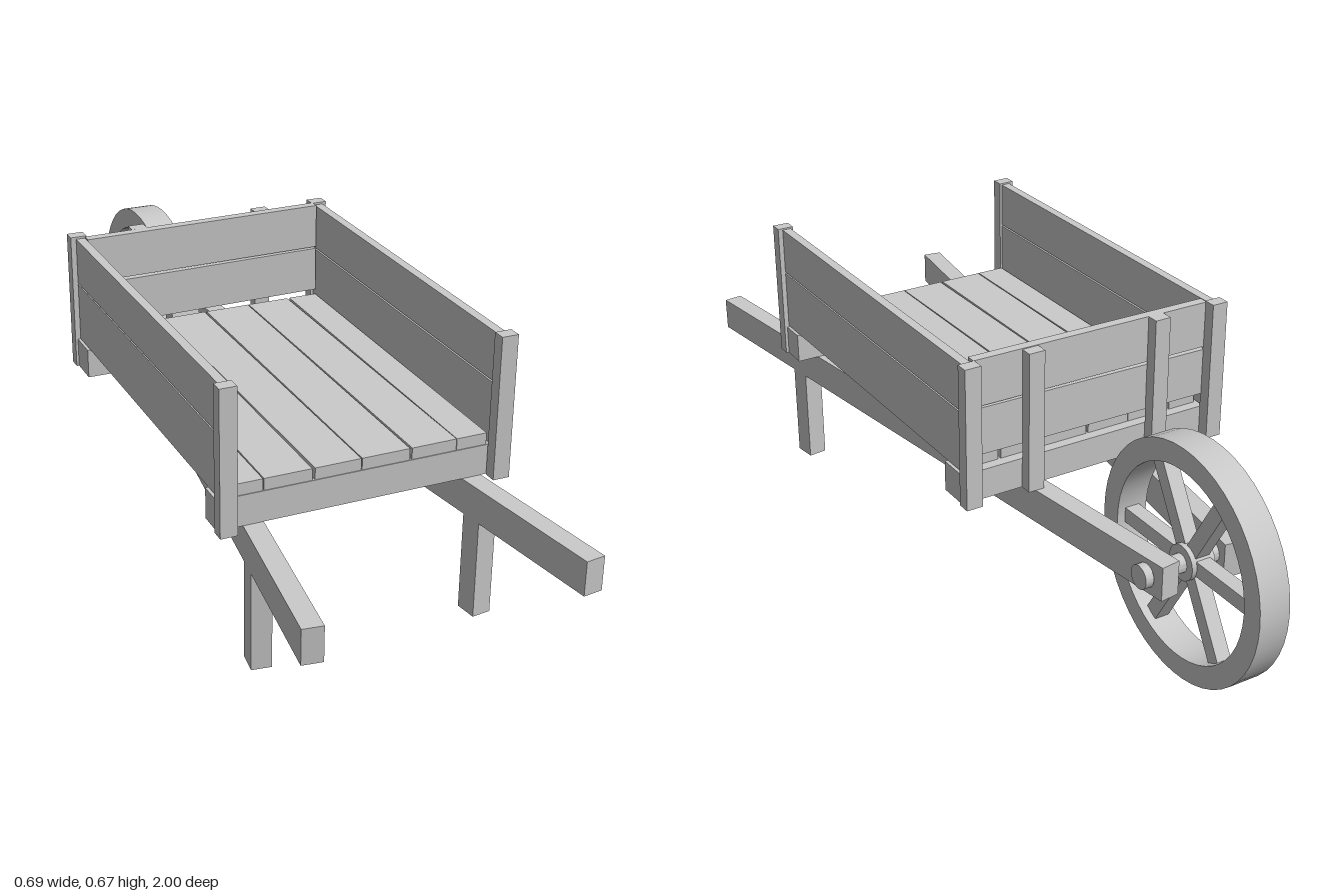
import * as THREE from 'three';
import { toCreasedNormals } from 'three/addons/utils/BufferGeometryUtils.js';

const wood = new THREE.MeshStandardMaterial({ color: 0xcccccc });
const CX = -0.003; // centre line of the tray and wheel

function add(parent, name, geometry, x = 0, y = 0, z = 0) {
  const mesh = new THREE.Mesh(geometry, wood);
  mesh.name = name;
  mesh.position.set(x, y, z);
  parent.add(mesh);
  return mesh;
}

// Box given by its minimum and maximum on each axis
function block(parent, name, [x0, x1], [y0, y1], [z0, z1]) {
  return add(parent, name, new THREE.BoxGeometry(x1 - x0, y1 - y0, z1 - z0),
    (x0 + x1) / 2, (y0 + y1) / 2, (z0 + z1) / 2);
}

// Cylinder lying along x
function rod(parent, name, radius, length, x = 0) {
  const geometry = new THREE.CylinderGeometry(radius, radius, length, 16).rotateZ(Math.PI / 2);
  return add(parent, name, toCreasedNormals(geometry, 0.6), x);
}

function createWheel() {
  const wheel = new THREE.Group();
  wheel.name = 'wheel';
  wheel.position.set(CX, 0.282, -0.721);

  // Rim
  const ring = new THREE.Shape().absarc(0, 0, 0.278, 0, Math.PI * 2);
  ring.holes.push(new THREE.Path().absarc(0, 0, 0.226, 0, Math.PI * 2, true));
  const rim = new THREE.ExtrudeGeometry(ring, { depth: 0.076, bevelEnabled: false, curveSegments: 24 });
  rim.translate(0, 0, -0.038).rotateY(Math.PI / 2);
  add(wheel, 'rim', toCreasedNormals(rim, 0.6));

  // Spokes
  for (let i = 0; i < 6; i++) {
    const spoke = new THREE.BoxGeometry(0.036, 0.036, 0.212).translate(0, 0, -0.126);
    add(wheel, 'spoke', spoke).rotation.x = i * Math.PI / 3;
  }

  // Hub and axle with end caps
  rod(wheel, 'hub', 0.042, 0.06);
  rod(wheel, 'axle', 0.022, 0.25, 0.005);
  for (const s of [-1, 1]) rod(wheel, 'axleCap', 0.028, 0.02, 0.005 + s * 0.124);
  return wheel;
}

function createTray() {
  const tray = new THREE.Group();
  tray.name = 'tray';

  // Floor planks, each slightly skewed
  const seams = [-0.31, -0.234, -0.119, -0.006, 0.113, 0.226, 0.304];
  const skew = [0, -0.003, 0.003, -0.001, 0.002, -0.004];
  for (let i = 0; i < 6; i++) {
    const plank = block(tray, 'floorPlank', [seams[i] + 0.002, seams[i + 1] - 0.002], [0.395, 0.423], [-0.305, 0.583]);
    plank.rotation.y = skew[i];
  }

  // Cross beams under the floor
  block(tray, 'frontBeam', [-0.342, 0.336], [0.322, 0.395], [0.523, 0.585]);
  block(tray, 'backBeam', [-0.342, 0.336], [0.322, 0.395], [-0.33, -0.252]);

  // Side boards and corner posts
  for (const s of [-1, 1]) {
    const side = [CX + s * 0.322 - 0.011, CX + s * 0.322 + 0.011];
    block(tray, 'lowerSideBoard', side, [0.397, 0.543], [-0.325, 0.59]);
    block(tray, 'upperSideBoard', side, [0.547, 0.661], [-0.325, 0.59]);
    const post = [CX + s * 0.325 - 0.02, CX + s * 0.325 + 0.02];
    block(tray, 'frontPost', post, [0.322, 0.665], [0.588, 0.619]);
    block(tray, 'backPost', post, [0.322, 0.665], [-0.36, -0.329]);
    const brace = [CX + s * 0.166 - 0.02, CX + s * 0.166 + 0.02];
    block(tray, 'backBrace', brace, [0.322, 0.663], [-0.36, -0.331]);
  }

  // Back boards, a little crooked
  block(tray, 'lowerBackBoard', [-0.311, 0.305], [0.432, 0.546], [-0.331, -0.307]).rotation.z = 0.01;
  block(tray, 'upperBackBoard', [-0.311, 0.305], [0.552, 0.664], [-0.331, -0.307]).rotation.z = 0.006;
  return tray;
}

export function createModel() {
  const model = new THREE.Group();
  model.name = 'wheelbarrow';
  model.add(createTray(), createWheel());

  // Handles converge on the axle; each carries a leg
  for (const s of [-1, 1]) {
    const arm = new THREE.Group();
    arm.name = s > 0 ? 'leftArm' : 'rightArm';
    arm.position.set(0.004 + s * 0.2, 0, 0.113);
    arm.rotation.y = s * 0.132;
    block(arm, 'handle', [-0.0235, 0.0235], [0.24, 0.322], [-0.888, 0.888]);
    block(arm, 'leg', [-0.0235, 0.0235], [0, 0.24], [0.485, 0.54]);
    model.add(arm);
  }
  return model;
}
